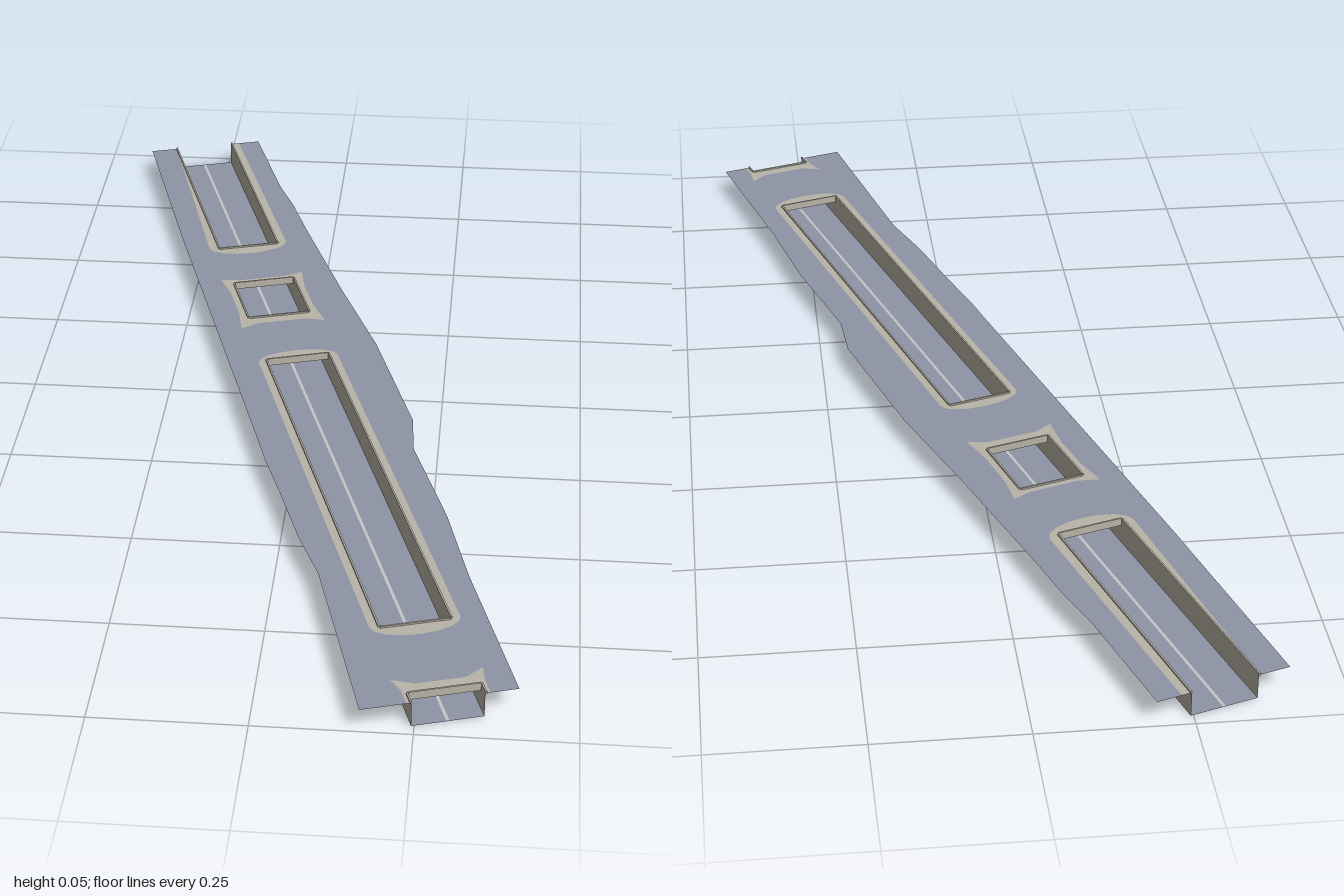
import * as THREE from 'three';

const HALF = 0.0575;   // half width of the trench
const END = 1.009;     // half length along the trench axis
const DECK = 0.044, CEILING = 0.033, FLOOR = 0.001;

export function createModel() {
  const asphalt = new THREE.MeshStandardMaterial({ name: 'blue grey asphalt', color: 0x8f95a6, side: THREE.DoubleSide });
  const concrete = new THREE.MeshStandardMaterial({ name: 'warm concrete', color: 0xb9b4a8, side: THREE.DoubleSide });
  const paint = new THREE.MeshStandardMaterial({ name: 'lane paint', color: 0xc6c6c6, side: THREE.DoubleSide });

  // Everything is laid out along local z, then the road is turned as a whole
  const road = new THREE.Group();
  road.name = 'sunkenRoad';
  road.rotation.y = 0.3026;

  const add = (name, geometry, material) => {
    const mesh = new THREE.Mesh(geometry, material);
    mesh.name = name;
    road.add(mesh);
    return mesh;
  };
  const toVectors = (pts) => pts.map(([x, z]) => new THREE.Vector2(x, -z));
  // Flat sheet from [x, z] corners, with optional holes
  const sheet = (name, pts, y, material, holes = []) => {
    const shape = new THREE.Shape(toVectors(pts));
    holes.forEach((h) => shape.holes.push(new THREE.Path(toVectors(h))));
    const g = new THREE.ShapeGeometry(shape);
    g.rotateX(-Math.PI / 2);
    g.translate(0, y, 0);
    return add(name, g, material);
  };
  const rect = (x0, x1, z0, z1) => [[x0, z0], [x1, z0], [x1, z1], [x0, z1]];
  const box = (name, x0, x1, y0, y1, z0, z1) => {
    const g = new THREE.BoxGeometry(x1 - x0, y1 - y0, z1 - z0);
    g.translate((x0 + x1) / 2, (y0 + y1) / 2, (z0 + z1) / 2);
    return add(name, g, concrete);
  };
  const wallPlane = (name, width, y0, y1, x, z, turn) => {
    const g = new THREE.PlaneGeometry(width, y1 - y0);
    g.rotateY(turn);
    g.translate(x, (y0 + y1) / 2, z);
    return add(name, g, concrete);
  };
  // Rounded end of a border, swept from one side to the other
  const arc = (z, dir, w, depth) => Array.from({ length: 9 }, (_, i) => {
    const a = Math.PI * i / 8;
    return [-w * Math.cos(a), z + dir * depth * Math.sin(a)];
  });

  // Open stretches of the trench, with covered stretches between them
  const openings = [[-END, -0.53], [-0.376, -0.236], [-0.068, 0.806], [0.986, END]];

  // Pavement borders around the openings
  const backBorder = [[-0.06, -END], ...arc(-0.535, 1, 0.077, 0.036), [0.075, -END]];
  const squareBorder = [
    [-0.08, -0.4], [-0.045, -0.39], [0.045, -0.39], [0.08, -0.4],
    [0.072, -0.34], [0.072, -0.26], [0.08, -0.198],
    [0.045, -0.212], [-0.045, -0.212], [-0.08, -0.198],
    [-0.072, -0.26], [-0.072, -0.34],
  ];
  const longBorder = [...arc(-0.065, -1, 0.074, 0.03), ...arc(0.803, 1, 0.074, 0.034).reverse()];
  const frontBorder = [
    [0.066, END], [0.066, 0.975], [0.072, 0.943], [0.04, 0.962],
    [-0.04, 0.962], [-0.075, 0.945], [-0.066, 0.975], [-0.066, END],
  ];
  sheet('backBorder', [...backBorder, [HALF, -END], [HALF, -0.53], [-HALF, -0.53], [-HALF, -END]], DECK, concrete);
  sheet('squareBorder', squareBorder, DECK, concrete, [rect(-HALF, HALF, ...openings[1])]);
  sheet('longBorder', longBorder, DECK, concrete, [rect(-HALF, HALF, ...openings[2])]);
  sheet('frontBorder', [...frontBorder, [-HALF, END], [-HALF, 0.986], [HALF, 0.986], [HALF, END]], DECK, concrete);

  // Ground level deck with an uneven outer edge
  const leftEdge = [
    [-0.139, END], [-0.119, 0.638], [-0.1275, 0.526], [-0.129, 0.379],
    [-0.132, 0.273], [-0.1305, 0.2], [-0.122, -0.583], [-0.112, -END],
  ];
  const rightEdge = [
    [0.117, -END], [0.118, -0.78], [0.1256, -0.694], [0.128, -0.578], [0.139, -0.312],
    [0.153, -0.088], [0.151, 0.197], [0.128, 0.294], [0.129, 0.516], [0.1175, 0.696], [0.111, END],
  ];
  sheet('groundDeck', [...leftEdge, ...backBorder, ...rightEdge, ...frontBorder], DECK, asphalt, [squareBorder, longBorder]);

  // Trench floor and its centre line
  sheet('trenchFloor', rect(-HALF, HALF, -END, END), FLOOR, asphalt);
  sheet('centreLine', rect(-0.0025, 0.0025, -END, END), FLOOR + 0.0008, paint);

  // Walls reach the deck beside openings, with a slim curb on top
  openings.forEach(([z0, z1]) => {
    for (const s of [-1, 1]) {
      wallPlane('openWall', z1 - z0, 0, DECK, s * HALF, (z0 + z1) / 2, -s * Math.PI / 2);
      const xs = [s * HALF, s * (HALF + 0.003)].sort((a, b) => a - b);
      box('sideCurb', xs[0], xs[1], DECK - 0.002, DECK + 0.003, z0, z1);
    }
    // Lintels over the tunnel mouths
    [[z0, -1], [z1, 1]].forEach(([z, dir]) => {
      if (Math.abs(z) === END) return;
      wallPlane('tunnelLintel', HALF * 2, CEILING, DECK, 0, z, dir < 0 ? 0 : Math.PI);
      const zs = [z, z + dir * 0.003].sort((a, b) => a - b);
      box('endCurb', -HALF, HALF, DECK - 0.002, DECK + 0.003, zs[0], zs[1]);
    });
  });

  // Covered stretches: lower walls and a ceiling
  for (let i = 0; i < openings.length - 1; i++) {
    const z0 = openings[i][1], z1 = openings[i + 1][0];
    for (const s of [-1, 1]) {
      wallPlane('tunnelWall', z1 - z0, 0, CEILING, s * HALF, (z0 + z1) / 2, -s * Math.PI / 2);
    }
    sheet('tunnelCeiling', rect(-HALF, HALF, z0, z1), CEILING, concrete);
  }

  const model = new THREE.Group();
  model.name = 'sunkenRoadSection';
  model.add(road);
  return model;
}
